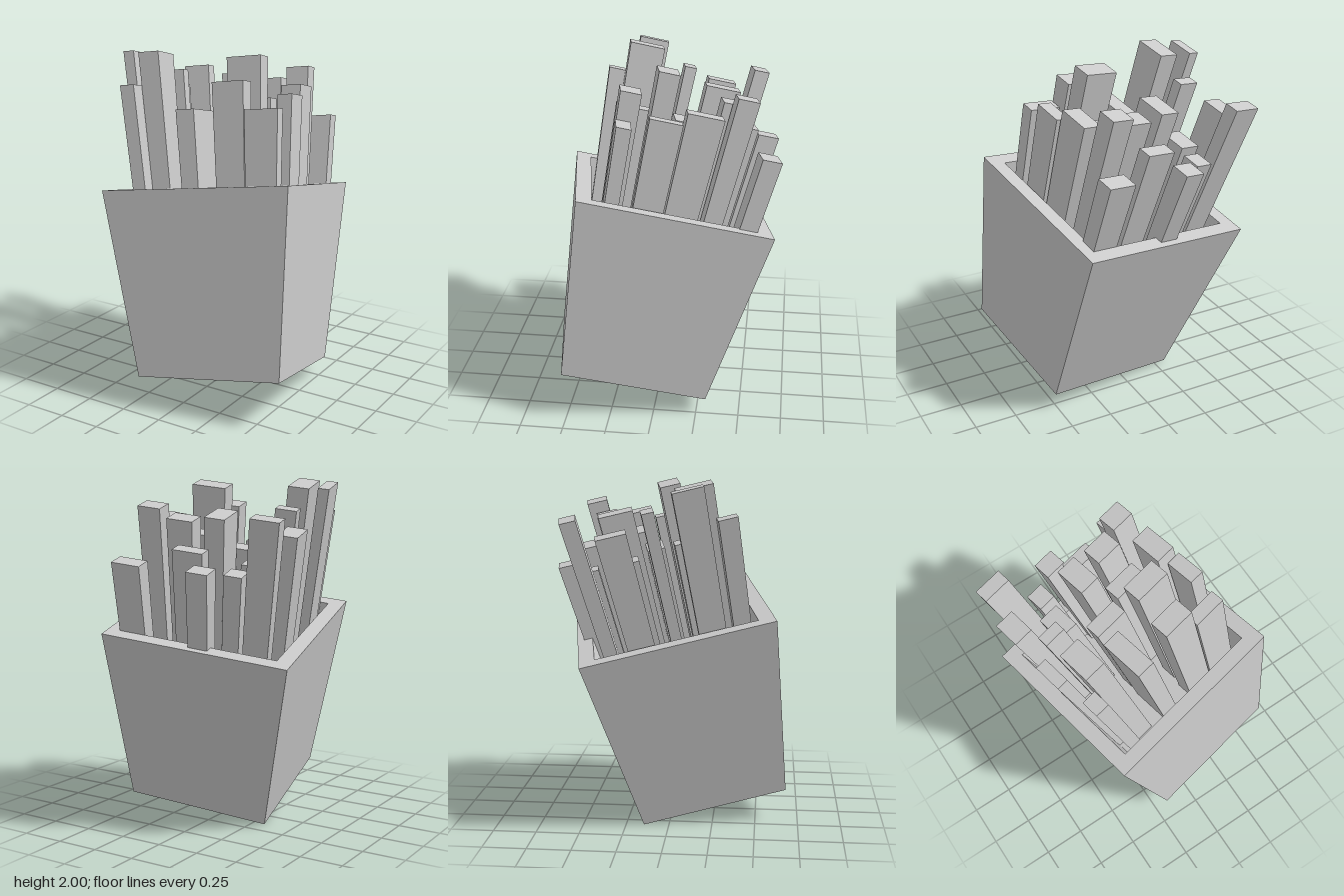
import * as THREE from 'three';

// Carton measurements (square plan, along its own tilted axis)
const HEIGHT = 1.077, BOTTOM = 0.428, TOP = 0.555, INNER = 0.465, FLOOR = 0.78;
const FAN = 0.16; // how much the sticks spread per unit of height

// Top face of each stick: centre x, y, z, then width and depth
const STICKS = [
  [-0.55, 1.80, -0.525, 0.165, 0.09],
  [-0.177, 1.52, -0.59, 0.125, 0.12],
  [0.275, 1.55, -0.62, 0.17, 0.11],
  [-0.32, 1.50, -0.455, 0.105, 0.12],
  [-0.04, 1.62, -0.485, 0.18, 0.09],
  [0.206, 1.86, -0.485, 0.135, 0.12],
  [-0.57, 1.72, -0.29, 0.115, 0.17],
  [-0.33, 1.55, -0.253, 0.125, 0.175],
  [-0.14, 1.81, -0.325, 0.12, 0.20],
  [0.06, 1.79, -0.40, 0.155, 0.125],
  [0.30, 1.79, -0.264, 0.115, 0.205],
  [0.076, 1.70, -0.20, 0.20, 0.105],
  [-0.44, 1.84, -0.108, 0.125, 0.07],
  [-0.116, 1.62, -0.098, 0.205, 0.10],
  [0.10, 1.97, -0.04, 0.205, 0.12],
  [0.37, 1.775, -0.058, 0.085, 0.185],
  [-0.57, 1.965, 0.123, 0.065, 0.175],
  [-0.405, 1.975, 0.145, 0.125, 0.205],
  [-0.134, 1.67, 0.152, 0.11, 0.285],
  [0.123, 1.86, 0.17, 0.185, 0.12],
  [0.336, 1.73, 0.18, 0.195, 0.085],
  [-0.45, 1.81, 0.33, 0.085, 0.11],
];

// Box standing on the carton floor, narrowing and leaning inward downwards
function stickGeometry(top, width, depth) {
  const spread = (y) => 1 + FAN * (y - HEIGHT);
  const geo = new THREE.BoxGeometry(width, top.y - FLOOR, depth);
  geo.translate(top.x, (top.y + FLOOR) / 2, top.z);
  const pos = geo.attributes.position;
  for (let i = 0; i < pos.count; i++) {
    const f = spread(pos.getY(i)) / spread(top.y);
    pos.setX(i, pos.getX(i) * f);
    pos.setZ(i, pos.getZ(i) * f);
  }
  geo.computeVertexNormals();
  return geo;
}

export function createModel() {
  const model = new THREE.Group();
  model.name = 'cartonOfSticks';
  const material = new THREE.MeshStandardMaterial({ color: 0xcccccc, flatShading: true });

  // Everything shares one tilted frame, with its origin under the carton
  const tilted = new THREE.Group();
  tilted.name = 'tiltedCarton';
  const xAxis = new THREE.Vector3(0.974, 0.122, -0.187).normalize();
  const yAxis = new THREE.Vector3(0.143, 0.223, 0.964).cross(xAxis).normalize();
  const zAxis = new THREE.Vector3().crossVectors(xAxis, yAxis);
  tilted.quaternion.setFromRotationMatrix(new THREE.Matrix4().makeBasis(xAxis, yAxis, zAxis));
  tilted.position.set(0.162, 0.154, 0.186);
  tilted.updateMatrixWorld(true);
  model.add(tilted);

  // Flared square carton with a thick rim and a recessed floor
  const floorHalf = INNER - (TOP - BOTTOM) * (HEIGHT - FLOOR) / HEIGHT;
  const profile = [[0, 0], [BOTTOM, 0], [TOP, HEIGHT], [INNER, HEIGHT], [floorHalf, FLOOR], [0, FLOOR]]
    .map(([half, y]) => new THREE.Vector2(half * Math.SQRT2, y));
  const carton = new THREE.Mesh(
    new THREE.LatheGeometry(profile, 4, Math.PI / 4).toNonIndexed(), material);
  carton.geometry.computeVertexNormals();
  carton.name = 'carton';
  tilted.add(carton);

  // Sticks
  const sticks = new THREE.Group();
  sticks.name = 'sticks';
  tilted.add(sticks);
  STICKS.forEach(([x, y, z, width, depth], i) => {
    const top = tilted.worldToLocal(new THREE.Vector3(x, y, z));
    const stick = new THREE.Mesh(stickGeometry(top, width, depth), material);
    stick.name = `stick${i + 1}`;
    sticks.add(stick);
  });

  return model;
}
